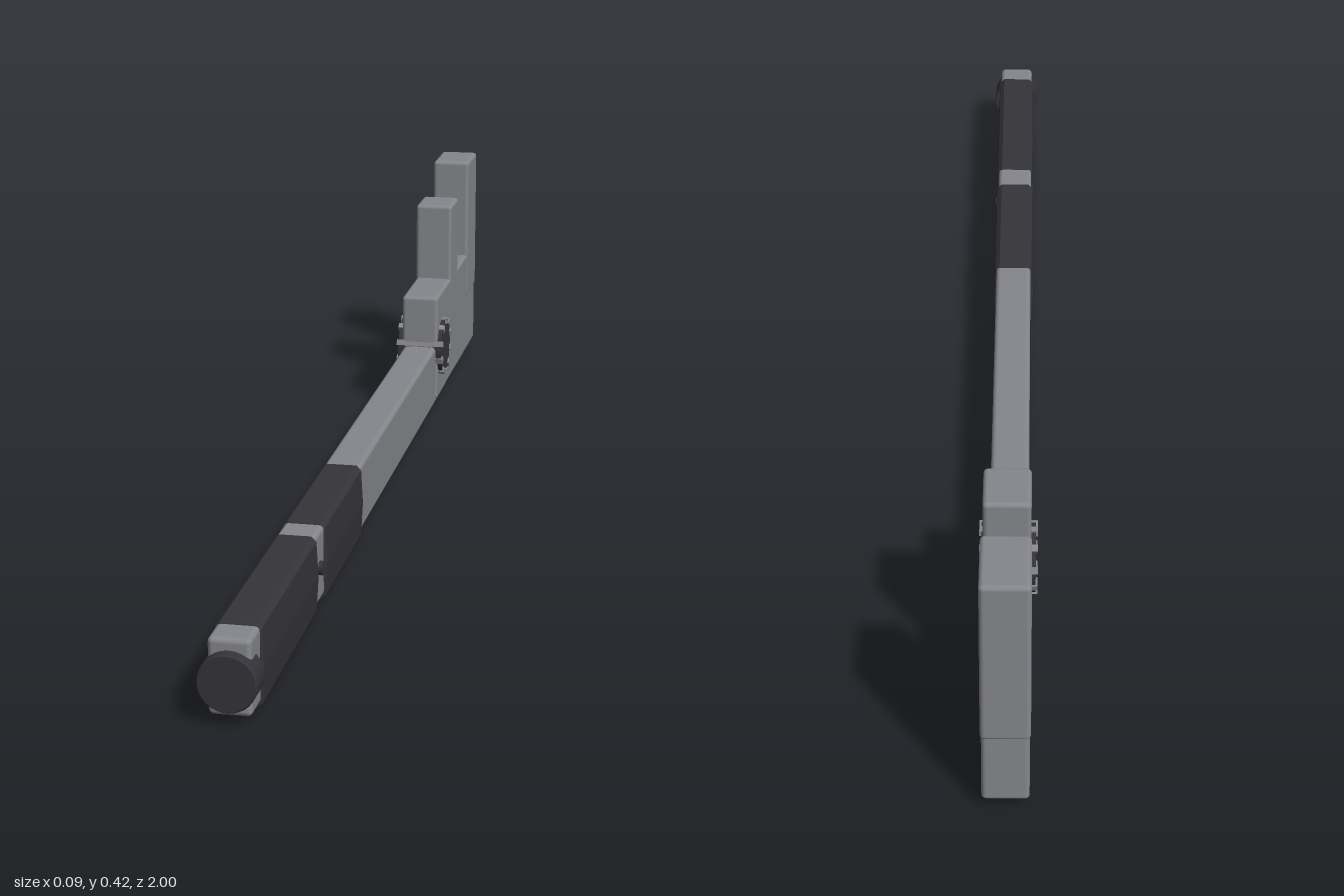
import * as THREE from 'three';
import { RoundedBoxGeometry } from 'three/addons/geometries/RoundedBoxGeometry.js';

export function createModel() {
  const group = new THREE.Group();
  const steel = new THREE.MeshStandardMaterial({ color: 0x86878c });
  steel.name = 'steel grey';
  const rubber = new THREE.MeshStandardMaterial({ color: 0x35343a });
  rubber.name = 'dark rubber';

  const add = (name, geometry, material, parent = group) => {
    const mesh = new THREE.Mesh(geometry, material);
    mesh.name = name;
    parent.add(mesh);
    return mesh;
  };

  // Softly rounded block given by half width and its y and z ranges
  const block = (name, hw, y0, y1, z0, z1, material, radius = 0.007) => {
    const geometry = new RoundedBoxGeometry(hw * 2, y1 - y0, z1 - z0, 3, radius);
    geometry.translate(0, (y0 + y1) / 2, (z0 + z1) / 2);
    return add(name, geometry, material);
  };

  // Cylinder lying along x
  const crossCylinder = (radius, length, sides) =>
    new THREE.CylinderGeometry(radius, radius, length, sides).rotateZ(Math.PI / 2);

  // Handle bar
  block('shaft', 0.031, 0.011, 0.125, -0.66, 0.983, steel, 0.008);

  // Grip sleeves with slightly bulging sides
  const grip = (name, z0, z1) => {
    const b = 0.003;
    const side = [[0.024, 0.005], [0.030, 0.011], [0.033, 0.065], [0.030, 0.119], [0.024, 0.125]];
    const points = [...side, ...side.slice().reverse().map(([x, y]) => [-x, y])];
    const shape = new THREE.Shape(points.map(([x, y]) => new THREE.Vector2(x, y)));
    const geometry = new THREE.ExtrudeGeometry(shape, {
      depth: z1 - z0 - 2 * b, bevelThickness: b, bevelSize: b, bevelSegments: 2,
    });
    add(name, geometry.translate(0, 0, z0 + b), rubber);
  };
  grip('rearGrip', 0.572, 0.932);
  grip('frontGrip', 0.225, 0.515);

  // Release button on the left side, between the grips
  add('button', crossCylinder(0.011, 0.012, 16), rubber).position.set(0.031, 0.067, 0.545);

  // Round end cap
  const profile = [[0, 0], [0.043, 0], [0.043, 0.042], [0.041, 0.045], [0, 0.045]]
    .map(([r, h]) => new THREE.Vector2(r, h));
  const cap = new THREE.LatheGeometry(profile, 32).toNonIndexed().rotateX(Math.PI / 2);
  cap.computeVertexNormals();
  add('endCap', cap, rubber).position.set(0, 0.065, 0.955);

  // Head and jaws
  block('headBody', 0.0345, 0.02, 0.224, -0.998, -0.522, steel);
  block('movableJaw', 0.0352, 0.13, 0.371, -0.765, -0.677, steel);
  block('fixedJaw', 0.036, 0.138, 0.418, -1, -0.887, steel);

  // Adjustment dial: dark wheel with ten ribs running through the head
  const dial = new THREE.Group();
  dial.name = 'adjustmentDial';
  dial.position.set(0, 0.115, -0.575);
  group.add(dial);
  add('dialWheel', crossCylinder(0.054, 0.084, 32), rubber, dial);
  for (let i = 0; i < 10; i++) {
    const angle = (i / 10) * Math.PI * 2;
    const rib = add('dialRib', new THREE.BoxGeometry(0.09, 0.011, 0.011), steel, dial);
    rib.position.set(0, Math.cos(angle) * 0.051, Math.sin(angle) * 0.051);
    rib.rotation.x = angle;
  }

  // Teeth under the head
  for (let i = 0; i < 5; i++) {
    block('tooth', 0.032, 0.01, 0.026, -0.823 - i * 0.034, -0.807 - i * 0.034, rubber, 0.003);
  }

  return group;
}
